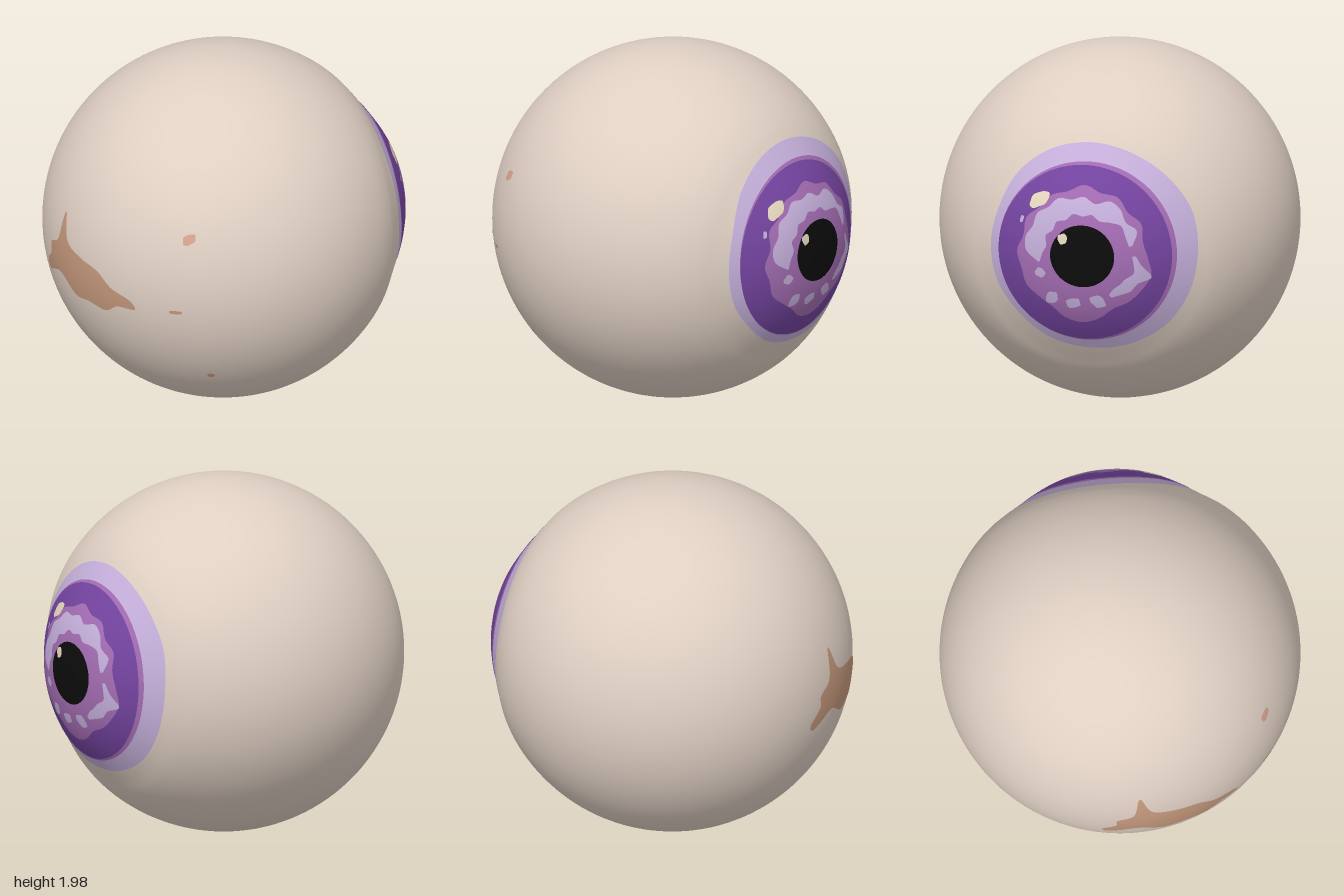
import * as THREE from 'three';

const R = 0.99, CY = 0.99, CX = -0.005;

// Bulge of the cornea: x at every 0.1 of radius, from -0.1 to 0.9
const bulge = new THREE.SplineCurve(
  [0.997, 1.0, 0.997, 0.982, 0.952, 0.903, 0.838, 0.768, 0.692, 0.578, 0.407]
    .map((x, i) => new THREE.Vector2(i * 0.1 - 0.1, x)));
const bulgeX = r => bulge.getPoint(r + 0.1).y;

// Projections of flat (u, v) points onto the eyeball, raised by a small lift
const ball = (a, b, r) => Math.sqrt(Math.max(0, r * r - a * a - b * b));
const onIris = (u, v, lift) => [bulgeX(Math.hypot(u, v - CY)) + lift, v, -u];
const onBack = (u, v, lift) => [CX - ball(u, v - CY, R + lift), v, u];
const onFront = (u, v, lift) => [u, v, ball(u - CX, v - CY, R + lift)];

const paint = (name, hex) => {
  const m = new THREE.MeshStandardMaterial({ color: hex, side: THREE.DoubleSide });
  m.name = name;
  return m;
};

export function createModel() {
  const eye = new THREE.Group();
  eye.name = 'eyeball';
  const sclera = paint('warm white', 0xdfcfc3);
  sclera.side = THREE.FrontSide;
  const lavender = paint('lavender', 0xc5b0db);
  const mauve = paint('mauve', 0xa46db3);
  const violet = paint('deep violet', 0x7444a0);
  const black = paint('pupil black', 0x0c0c0c);
  const cream = paint('cream', 0xe8dac0);
  const rust = paint('rust stain', 0xc5987c);
  const pink = paint('pink stain', 0xd6a48e);

  // Eyeball with bulging cornea, turned around the x axis
  const profile = [];
  const edge = Math.acos(0.8 / R);
  for (let i = 0; i <= 56; i++) {
    const a = -Math.PI / 2 + (Math.PI / 2 + edge) * i / 56;
    profile.push(new THREE.Vector2(i ? R * Math.cos(a) : 0, CX + R * Math.sin(a)));
  }
  for (let i = 1; i <= 40; i++) {
    const r = 0.8 * (1 - i / 40);
    profile.push(new THREE.Vector2(r, bulgeX(r)));
  }
  const body = new THREE.Mesh(new THREE.LatheGeometry(profile, 112), sclera);
  body.geometry.rotateZ(-Math.PI / 2);
  body.position.y = CY;
  body.name = 'sclera';
  eye.add(body);

  // Thin surface lofted between two flat outlines and laid on the eyeball
  function loft(name, mat, outer, inner, project, lift, rings) {
    const pos = [], idx = [], n = outer.length;
    for (let j = 0; j <= rings; j++) {
      for (let i = 0; i < n; i++) {
        const p = inner[i].clone().lerp(outer[i], j / rings);
        pos.push(...project(p.x, p.y, lift));
        if (j && i) {
          const a = j * n + i, b = a - n;
          idx.push(b - 1, a - 1, a, b - 1, a, b);
        }
      }
    }
    const g = new THREE.BufferGeometry();
    g.setAttribute('position', new THREE.Float32BufferAttribute(pos, 3));
    g.setIndex(idx);
    g.computeVertexNormals();
    const m = new THREE.Mesh(g, mat);
    m.name = name;
    eye.add(m);
  }

  const smooth = (pts, closed, n) =>
    new THREE.CatmullRomCurve3(pts.map(p => new THREE.Vector3(p[0], p[1], 0)), closed).getPoints(n);

  // Filled patch from an outline around a centre
  function patch(name, mat, pts, centre, project, lift, rings = 8, n = 96) {
    const outer = smooth(pts, true, n);
    const mid = new THREE.Vector3(centre[0], centre[1], 0);
    loft(name, mat, outer, outer.map(() => mid), project, lift, rings);
  }

  // Outline given as radii spaced evenly over an angle range in degrees
  const polar = (radii, a0, a1, cx = 0, cy = 1.02) => radii.map((r, i) => {
    const a = THREE.MathUtils.degToRad(a0 + (a1 - a0) * i / (radii.length - 1));
    return [cx + r * Math.cos(a), cy + r * Math.sin(a)];
  });
  const disc = (name, mat, radii, lift, cx = 0, cy = 1.02) =>
    patch(name, mat, polar([...radii, 0], 0, 360, cx, cy).slice(0, -1), [cx, cy], onIris, lift, 28, 144);
  const band = (name, mat, outer, inner, a0, a1) =>
    loft(name, mat, smooth(polar(outer, a0, a1), false, 80), smooth(polar(inner, a0, a1), false, 80), onIris, 0.008, 8);

  // Tilted, slightly uneven oval
  function blob(name, mat, cx, cy, rx, ry, tilt, project, lift) {
    const pts = [];
    for (let i = 0; i < 10; i++) {
      const a = i * Math.PI / 5, w = 1 + 0.1 * Math.sin(i * 2.3 + cx * 20);
      const x = rx * w * Math.cos(a), y = ry * w * Math.sin(a);
      pts.push([cx + x * Math.cos(tilt) - y * Math.sin(tilt), cy + x * Math.sin(tilt) + y * Math.cos(tilt)]);
    }
    patch(name, mat, pts, [cx, cy], project, lift, 4, 40);
  }

  // Iris, from the outer halo inwards
  disc('irisHalo', lavender, [0.605, 0.615, 0.6, 0.59, 0.59, 0.585, 0.57, 0.545,
    0.548, 0.55, 0.54, 0.55, 0.555, 0.575, 0.595, 0.602], 0.002);
  disc('irisRim', mauve, Array(16).fill(0.5), 0.004, 0.004, 1.018);
  disc('irisOuterRing', violet, Array(16).fill(0.488), 0.006, -0.008, 1.013);
  disc('irisInnerRing', mauve, [0.36, 0.345, 0.37, 0.35, 0.375, 0.36, 0.385, 0.36, 0.37, 0.355, 0.375, 0.35,
    0.375, 0.36, 0.37, 0.35, 0.345, 0.375, 0.385, 0.365, 0.34, 0.36, 0.375, 0.39], 0.007);

  // Pale flecks around the pupil
  band('irisPaleArc', lavender,
    [0.29, 0.335, 0.31, 0.335, 0.34, 0.3, 0.325, 0.315, 0.34, 0.325, 0.34, 0.32, 0.335, 0.32, 0.25],
    [0.27, 0.27, 0.28, 0.25, 0.225, 0.24, 0.225, 0.24, 0.22, 0.235, 0.215, 0.23, 0.205, 0.22, 0.24], 14, 190);
  band('irisPaleSide', lavender, [0.28, 0.3, 0.33, 0.34, 0.395, 0.33, 0.3],
    [0.26, 0.25, 0.26, 0.27, 0.3, 0.29, 0.28], -54, 2);
  [[-0.235, 0.915, 0.03, 0.028, 0], [-0.17, 0.775, 0.042, 0.032, 0.8], [-0.048, 0.752, 0.042, 0.03, 0.2],
    [0.09, 0.768, 0.045, 0.034, -0.5], [-0.352, 1.195, 0.01, 0.022, -0.3]]
    .forEach(f => blob('irisFleck', lavender, ...f, onIris, 0.008));

  // Pupil and highlights
  disc('pupil', black, [0.18, 0.178, 0.176, 0.174, 0.173, 0.174, 0.176, 0.178,
    0.18, 0.178, 0.176, 0.174, 0.173, 0.174, 0.176, 0.178], 0.0085, 0.005, 1.024);
  blob('largeHighlight', cream, -0.255, 1.31, 0.065, 0.035, 0.6, onIris, 0.009);
  blob('pupilHighlight', cream, -0.105, 1.117, 0.028, 0.03, 0, onIris, 0.0095);

  // Stains on the far side and the front
  patch('backStain', rust, [[0.03, 1.25], [0.1, 1.1], [0.22, 1.06], [0.36, 1.03], [0.45, 0.96], [0.56, 0.915],
    [0.58, 0.87], [0.48, 0.855], [0.4, 0.8], [0.28, 0.81], [0.17, 0.8], [0.02, 0.88], [-0.16, 0.82],
    [-0.18, 0.86], [-0.1, 0.95], [-0.1, 1.01], [-0.01, 1.07]], [0.1, 0.96], onBack, 0.003, 20, 120);
  blob('frontStain', pink, -0.555, 1.33, 0.04, 0.022, 0.75, onFront, 0.003);
  blob('frontStain', rust, -0.64, 0.9, 0.03, 0.011, 0.1, onFront, 0.003);
  blob('frontStain', rust, -0.41, 0.445, 0.02, 0.014, -0.4, onFront, 0.003);
  return eye;
}
